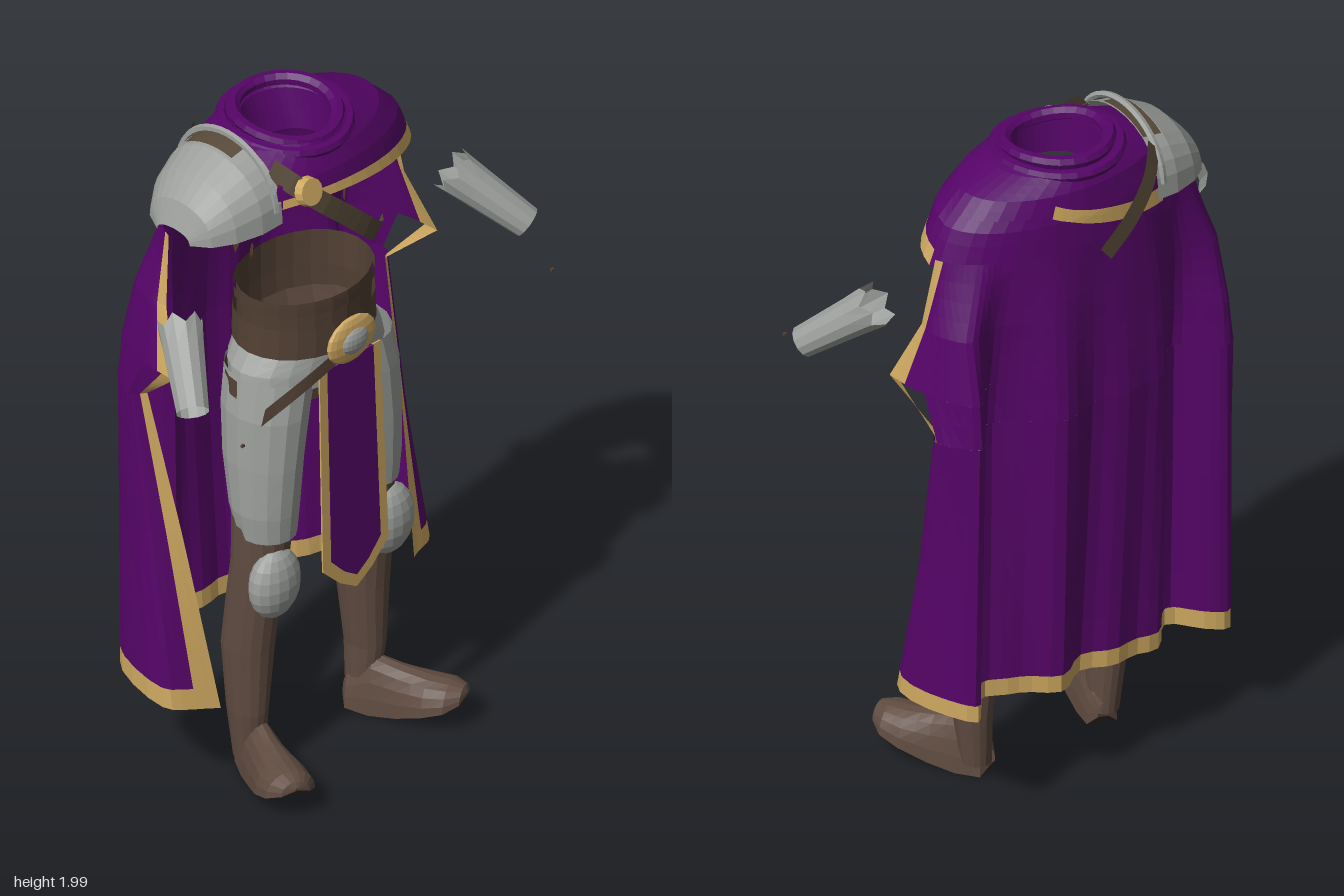
import * as THREE from 'three';

const mat = (name, color) => {
  const m = new THREE.MeshStandardMaterial({ color, flatShading: true, side: THREE.DoubleSide });
  m.name = name;
  return m;
};

export function createModel() {
  const root = new THREE.Group();
  root.name = 'cloakedArmour';
  const purple = mat('purpleCloth', 0x560468), gold = mat('goldTrim', 0xcea860);
  const steel = mat('steel', 0x9c9f9b), boot = mat('bootLeather', 0x5f4b40);
  const belt = mat('beltLeather', 0x524034), sole = mat('darkSole', 0x372b25);
  const strapMat = mat('strapLeather', 0x584a39), scrap = mat('tornCloth', 0x8a6443);

  const add = (name, geo, material, parent = root) => {
    const m = new THREE.Mesh(geo, material);
    m.name = name;
    parent.add(m);
    return m;
  };

  // Surface patch sampled from fn(u, v) -> [x, y, z]
  const patch = (fn, u0, u1, nu, v0, v1, nv) => {
    const pos = [], idx = [];
    for (let j = 0; j <= nv; j++) for (let i = 0; i <= nu; i++)
      pos.push(...fn(u0 + (u1 - u0) * i / nu, v0 + (v1 - v0) * j / nv));
    for (let j = 0; j < nv; j++) for (let i = 0; i < nu; i++) {
      const a = j * (nu + 1) + i, b = a + nu + 1;
      idx.push(a, b, a + 1, a + 1, b, b + 1);
    }
    const g = new THREE.BufferGeometry();
    g.setAttribute('position', new THREE.Float32BufferAttribute(pos, 3));
    g.setIndex(idx);
    g.computeVertexNormals();
    return g;
  };
  // Linear blend through a list of equal-length rows
  const blend = (rows, v) => {
    const i = Math.min(Math.floor(v), rows.length - 2), t = v - i;
    return rows[i].map((a, k) => a + (rows[i + 1][k] - a) * t);
  };
  // Stacked elliptical rings, listed bottom to top: [y, cx, cz, rx, rz]; u0..u1 limits the sweep
  const tube = (rows, sides = 16, u0 = 0, u1 = 1) => patch((u, v) => {
    const [y, cx, cz, rx, rz] = blend(rows, v), a = u * Math.PI * 2;
    return [cx + rx * Math.cos(a), y, cz - rz * Math.sin(a)];
  }, u0, u1, sides, rows.length - 1, 0, (rows.length - 1) * 2);
  // Flat ribbon following a curve, widened along a fixed direction
  const ribbon = (pts, dir) => {
    const c = new THREE.CatmullRomCurve3(pts.map(p => new THREE.Vector3(...p)));
    return patch((u, v) => {
      const p = c.getPoint(u);
      return [p.x + dir[0] * v, p.y + dir[1] * v, p.z + dir[2] * v];
    }, 0, 1, 14, -1, 1, 1);
  };

  // Mantle: rings from inside the neck to the hem [y, rx, zBack, zFront]
  const mantleRows = [
    [1.84, 0.115, -0.18, 0.02], [1.965, 0.125, -0.225, 0.035], [1.952, 0.19, -0.265, 0.055],
    [1.91, 0.31, -0.285, 0.08], [1.83, 0.385, -0.298, 0.1], [1.72, 0.425, -0.302, 0.115]];
  const mantle = (u, v) => {
    const [y, rx, zb, zf] = blend(mantleRows, v), a = u * Math.PI * 2;
    const x = rx * Math.cos(a), s = Math.sin(a);
    const lift = Math.sqrt(Math.max(0, s)) * (0.085 - 0.13 * x) * Math.max(0, v - 3) / 2;
    return [x, y + lift, (zf + zb) / 2 + (zf - zb) / 2 * s];
  };
  const cloak = new THREE.Group();
  cloak.name = 'cloak';
  root.add(cloak);
  add('mantle', patch(mantle, 0, 1, 40, 0, 3.6, 12), purple, cloak);
  add('mantleFront', patch(mantle, 0, 0.34, 14, 3.6, 4.6, 3), purple, cloak);
  add('mantleBack', patch(mantle, 0.62, 1, 16, 3.6, 5, 4), purple, cloak);
  add('mantleFrontTrim', patch(mantle, 0, 0.33, 14, 4.6, 5, 1), gold, cloak);
  // Curved gold band lying on the back of the mantle
  add('mantleBackTrim', patch((u, v) => {
    const p = mantle(0.82 - 0.16 * u, 3.3 + 0.9 * (1 - (1 - u) ** 2) + 0.42 * v);
    return [p[0] * 1.01, p[1] + 0.003, p[2] - 0.008];
  }, 0, 1, 12, 0, 1, 2), gold, cloak);
  // Rolled collar, slightly higher at the sides than at the front
  [[0.14, 1.955, 0.02, 0.1], [0.168, 1.935, 0.018, 0.05]].forEach(([r, y, t, tilt]) => {
    const c = add('collarFold', new THREE.TorusGeometry(r, t, 7, 26), purple, cloak);
    const p = c.geometry.attributes.position;
    for (let i = 0; i < p.count; i++) p.setZ(i, p.getZ(i) - 0.012 * Math.pow(p.getX(i) / r, 2));
    c.rotation.x = Math.PI / 2 + tilt;
    c.scale.y = 1.02;
    c.position.set(0, y, -0.1);
  });

  // Cape: half sections from the front edge to the centre of the back, top to bottom
  const capeY = [1.75, 1.55, 1.37, 1.24, 0.8, 0.36];
  const halves = [
    [[0.425, -0.12], [0.405, -0.16], [0.345, -0.215], [0.27, -0.25], [0.15, -0.295], [0, -0.305]],
    [[0.455, -0.1], [0.465, -0.15], [0.415, -0.255], [0.3, -0.24], [0.17, -0.305], [0, -0.31]],
    [[0.505, -0.025], [0.495, -0.14], [0.42, -0.295], [0.31, -0.225], [0.175, -0.315], [0, -0.31]],
    [[0.455, -0.17], [0.49, -0.2], [0.42, -0.305], [0.31, -0.215], [0.175, -0.32], [0, -0.31]],
    [[0.42, -0.07], [0.49, -0.14], [0.425, -0.3], [0.31, -0.21], [0.17, -0.305], [0, -0.285]],
    [[0.37, 0.02], [0.505, -0.06], [0.43, -0.295], [0.31, -0.2], [0.165, -0.285], [0, -0.255]]];
  const capeCurves = halves.map(h => new THREE.CatmullRomCurve3(
    [...h.map(([x, z]) => [-x, z]), ...h.slice(0, -1).reverse()].map(([x, z]) => new THREE.Vector3(x, 0, z))));
  const cape = (u, v) => {
    const row = k => {
      const p = capeCurves[k].getPoint(u), s = 2 * u - 1;
      return [p.x, capeY[k] + (k === 5 ? (s < 0 ? 0.08 : 0.05) * s * Math.abs(s) : 0), p.z];
    };
    const i = Math.min(Math.floor(v), 4), p = blend([row(i), row(i + 1)], v - i);
    p[2] += 0.003 * v * Math.cos(u * 60) * Math.sin(Math.PI * u);
    return p;
  };
  const e = 0.04, top = 0.055, hem = 4.88;
  add('capeUpper', patch(cape, top, 1 - top, 46, 0, 2, 8), purple, cloak);
  add('capeMiddle', patch(cape, 0.11, 0.89, 40, 2, 3, 2), purple, cloak);
  add('capeLower', patch(cape, e, 1 - e, 46, 3, hem, 8), purple, cloak);
  add('capeHemTrim', patch(cape, 0, 1, 48, hem, 5, 1), gold, cloak);
  for (const right of [true, false]) {
    const edge = (w, v0, v1) => add('capeEdgeTrim', patch(cape, right ? 0 : 1 - w, right ? w : 1, 2, v0, v1, 8), gold, cloak);
    edge(top, 0, 2);
    edge(e, 2, 3);
    edge(e, 3, hem);
  }

  // Shoulder plate on the right: arches [x, topY, bottomY, halfDepth]
  const arches = [[-0.2, 1.972, 1.775, 0.185], [-0.27, 1.957, 1.77, 0.18], [-0.345, 1.915, 1.765, 0.155],
    [-0.4, 1.855, 1.76, 0.115], [-0.428, 1.785, 1.755, 0.06]];
  const arch = (u, v) => {
    const [x, t, b, d] = blend(arches, v), a = u * Math.PI;
    return [x, b + (t - b) * Math.pow(Math.sin(a), 0.75), -0.1 + d * Math.cos(a)];
  };
  add('shoulderPlate', patch(arch, 0.001, 0.999, 14, 0, 4, 8), steel);
  add('shoulderStrap', patch((u, v) => {
    const p = arch(u, v);
    return [p[0], p[1] + 0.005, p[2]];
  }, 0.4, 0.72, 6, 0, 0.9, 3), strapMat);
  const rim = [];
  for (let i = 0; i <= 10; i++) {
    const a = i / 10 * Math.PI;
    rim.push(new THREE.Vector3(-0.22, 1.82 + 0.17 * Math.sin(a), -0.1 + 0.18 * Math.cos(a)));
  }
  add('shoulderPlateRim', new THREE.TubeGeometry(new THREE.CatmullRomCurve3(rim), 20, 0.01, 5), steel);

  // Chest strap, its run down the back, and the clasp
  add('chestStrap', ribbon([[-0.2, 1.93, 0.04], [-0.13, 1.85, 0.115], [0, 1.73, 0.138],
    [0.12, 1.62, 0.125], [0.2, 1.575, 0.05]], [0.018, 0.022, 0]), strapMat);
  add('backStrap', ribbon([[-0.21, 1.93, -0.25], [-0.16, 1.87, -0.298], [-0.08, 1.79, -0.325], [0.01, 1.71, -0.328]],
    [0.018, 0.022, 0]), strapMat);
  const clasp = add('cloakClasp', new THREE.CylinderGeometry(0.038, 0.042, 0.025, 14), gold);
  clasp.rotation.x = Math.PI / 2 - 0.3;
  clasp.position.set(-0.13, 1.86, 0.115);
  // Torn scraps under the mantle
  [[-0.25, 1.69, 0.03, 0.045, 0.5], [-0.19, 1.63, 0.018, 0.025, 0.2], [0.165, 1.67, 0.016, 0.055, 0]].forEach(([x, y, w, h, r]) => {
    const s = add('tornScrap', new THREE.CircleGeometry(1, 5), scrap);
    s.scale.set(w, h, 1);
    s.position.set(x, y, -0.04);
    s.rotation.set(0, 0.5, r);
  });

  // Waist
  add('corset', tube([[1.26, 0, -0.03, 0.205, 0.155], [1.38, 0, -0.03, 0.2, 0.16], [1.49, 0, -0.03, 0.205, 0.16]], 24), belt);
  add('beltBand', tube([[1.32, 0, -0.03, 0.215, 0.172], [1.41, 0, -0.03, 0.21, 0.172]], 24), belt);
  add('corsetTopBand', tube([[1.45, 0, -0.03, 0.21, 0.166], [1.48, 0, -0.03, 0.212, 0.168]], 24), belt);
  add('hipPlate', tube([[1.22, 0, -0.02, 0.255, 0.15], [1.27, 0, -0.03, 0.245, 0.16], [1.32, 0, -0.03, 0.208, 0.162]], 24), steel);
  add('hipStrap', tube([[1.2, 0, -0.02, 0.268, 0.152], [1.25, 0, -0.025, 0.262, 0.162]], 14, 0, 0.5), belt);
  add('pelvis', tube([[1.08, 0, -0.02, 0.005, 0.005], [1.15, 0, -0.02, 0.14, 0.11], [1.24, 0, -0.025, 0.2, 0.14],
    [1.32, 0, -0.03, 0.198, 0.152]]), boot);
  add('beltTail', ribbon([[-0.04, 1.32, 0.152], [-0.16, 1.27, 0.135], [-0.28, 1.195, 0.09]], [0.008, 0.024, 0]), belt);
  for (const [name, r, z, m] of [['buckle', 0.092, 0.155, gold], ['buckleCentre', 0.052, 0.166, steel]]) {
    const b = add(name, new THREE.SphereGeometry(r, 18, 8), m);
    b.scale.set(1, 0.76, 0.02 / r);
    b.position.set(-0.01, 1.352, z);
  }

  // Front tabard with a gold border
  const tabard = new THREE.Group();
  tabard.name = 'tabard';
  tabard.position.set(0, 1.28, 0.136);
  tabard.rotation.x = -0.035;
  root.add(tabard);
  const panel = (y, w, side, tip, depth) => new THREE.ExtrudeGeometry(new THREE.Shape(
    [[-w * 0.93, y], [-w, side], [-w * 0.5, (side + tip * 1.6) / 2.6], [0, tip], [w * 0.5, (side + tip * 1.6) / 2.6], [w, side], [w * 0.93, y]]
      .map(p => new THREE.Vector2(...p))), { depth, bevelEnabled: false });
  add('tabardBorder', panel(0, 0.125, -0.62, -0.72, 0.005), gold, tabard);
  add('tabardCloth', panel(0, 0.094, -0.6, -0.682, 0.009), purple, tabard).position.z = -0.002;

  // Legs and arms, mirrored; foot sections [z, halfWidth, bottom, top]
  const footRows = [[-0.045, 0.015, 0.03, 0.07], [-0.03, 0.042, 0.003, 0.11], [0.04, 0.052, 0, 0.17],
    [0.12, 0.062, 0.015, 0.15], [0.2, 0.078, 0.045, 0.138], [0.26, 0.072, 0.066, 0.135], [0.297, 0.042, 0.085, 0.124], [0.306, 0.004, 0.1, 0.108]];
  const foot = (u, v) => {
    const [z, w, b, t] = blend(footRows, v), a = u * Math.PI * 2;
    return [w * Math.cos(a), b + (t - b) * Math.max(0, Math.sin(a)), z];
  };
  for (const s of [-1, 1]) {
    const limb = new THREE.Group();
    limb.name = s > 0 ? 'leftLeg' : 'rightLeg';
    root.add(limb);
    add('bootShaft', tube([[0.04, s * 0.215, -0.025, 0.042, 0.045], [0.2, s * 0.225, -0.022, 0.05, 0.064],
      [0.4, s * 0.22, -0.025, 0.067, 0.078], [0.55, s * 0.215, -0.01, 0.069, 0.078],
      [0.68, s * 0.205, 0.005, 0.076, 0.08], [0.84, s * 0.19, 0.005, 0.085, 0.088]]), boot, limb);
    add('thighPlate', tube([[0.77, s * 0.195, 0.02, 0.08, 0.085], [0.85, s * 0.195, 0.012, 0.09, 0.1],
      [1.0, s * 0.187, 0.0, 0.098, 0.12], [1.15, s * 0.17, -0.008, 0.108, 0.132], [1.26, s * 0.145, -0.015, 0.112, 0.135]]), steel, limb);
    const knee = add('kneePlate', new THREE.SphereGeometry(1, 16, 10), steel, limb);
    knee.scale.set(0.085, 0.107, 0.055);
    knee.position.set(s * 0.218, 0.635, 0.072);
    const shoe = new THREE.Group();
    shoe.name = 'foot';
    shoe.position.set(s * 0.205, 0.005, -0.02);
    shoe.rotation.y = s * 0.41;
    limb.add(shoe);
    add('footUpper', patch(foot, 0, 0.5, 10, 0, 7, 14), boot, shoe);
    add('footSole', patch(foot, 0.5, 1, 8, 0, 7, 14), sole, shoe);

    // Forearm guard, open at both ends with a torn upper rim, and a loose fragment by the hand
    const elbow = new THREE.Vector3(s * 0.513, 1.585, 0.005), wrist = new THREE.Vector3(s * 0.64, 1.425, 0.178);
    const shell = new THREE.CylinderGeometry(0.062, 0.045, elbow.distanceTo(wrist), 12, 3, true);
    const sp = shell.attributes.position;
    for (let i = 1; i < 12; i += 2) sp.setY(i, sp.getY(i) - 0.03);
    const guard = add('forearmGuard', shell, steel);
    guard.position.copy(elbow).lerp(wrist, 0.5);
    guard.quaternion.setFromUnitVectors(new THREE.Vector3(0, 1, 0), elbow.clone().sub(wrist).normalize());
    add('looseFragment', new THREE.BoxGeometry(0.01, 0.007, 0.007), belt).position.set(s * 0.593, 1.36, 0.317);
  }
  return root;
}
